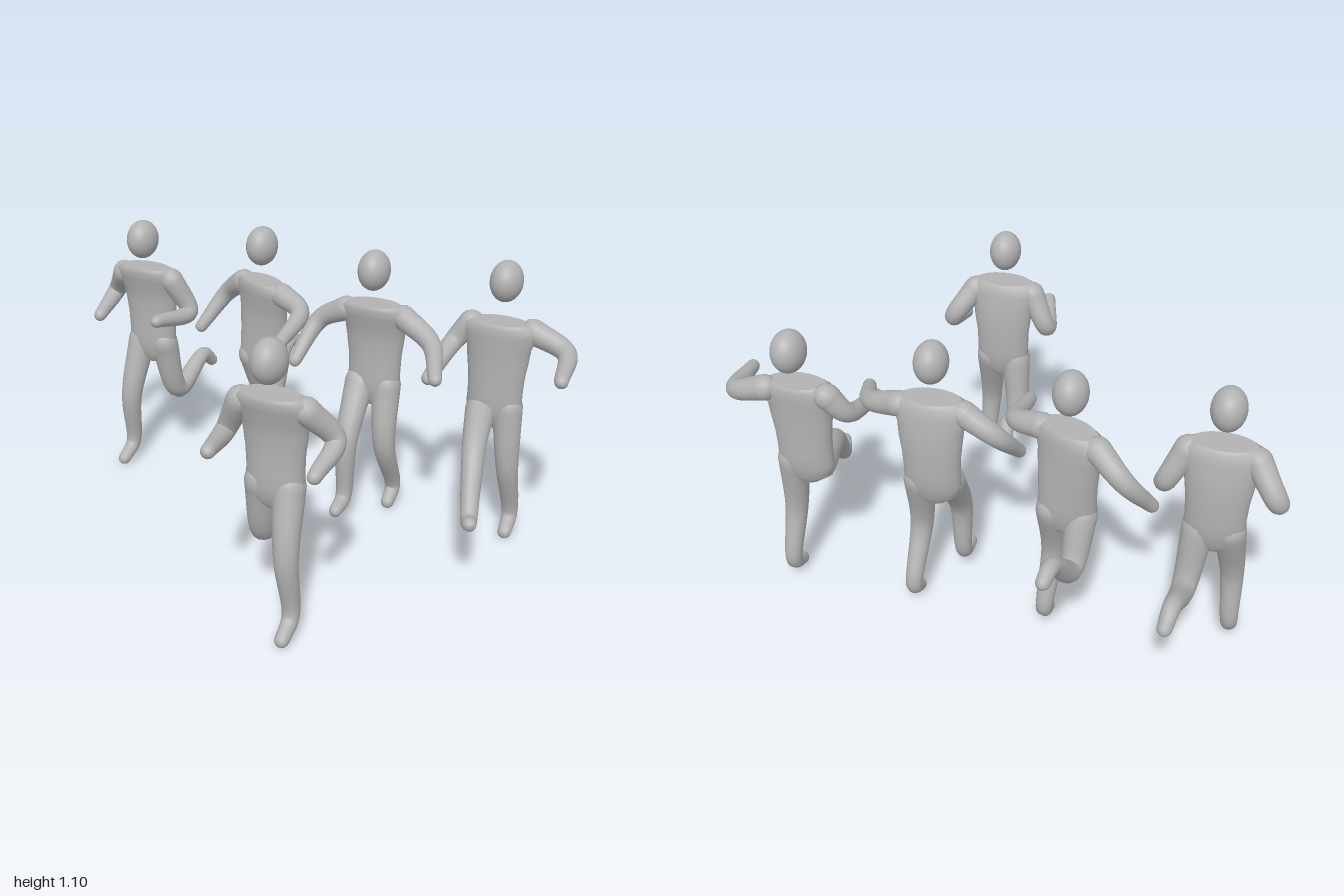
import * as THREE from 'three';
import { mergeGeometries, mergeVertices } from 'three/addons/utils/BufferGeometryUtils.js';

const grey = new THREE.MeshStandardMaterial({ color: 0xb2b2b2 });
grey.name = 'plain grey';

// torso sections from top to bottom: y, half width, half depth, forward shift
const TORSO = [
  [0.887, 0.105, 0.055, 0.028], [0.872, 0.135, 0.064, 0.026], [0.84, 0.138, 0.064, 0.018],
  [0.79, 0.121, 0.061, 0.008], [0.74, 0.116, 0.06, 0], [0.67, 0.107, 0.06, 0],
  [0.6, 0.104, 0.062, 0], [0.55, 0.106, 0.061, 0.004], [0.5, 0.095, 0.052, 0.006], [0.465, 0.045, 0.03, 0.006],
];
const ARM = [0.047, 0.037, 0.025];
const LEG = [0.058, 0.043, 0.031, 0.026];

// smooth tapered limb through joints, with a rounded tip
function limb(joints, radii) {
  const curve = new THREE.CatmullRomCurve3(joints.map((p) => new THREE.Vector3(...p)), false, 'centripetal');
  const rows = 30, sides = 16, last = joints.length - 1;
  const frames = curve.computeFrenetFrames(rows, false);
  // arc position of every joint, so each radius lands on its joint
  const lengths = curve.getLengths(200);
  const stops = joints.map((_, i) => lengths[Math.round((i / last) * 200)] / lengths[200]);
  const radiusAt = (u) => {
    let i = 0;
    while (i < last - 1 && u > stops[i + 1]) i++;
    return THREE.MathUtils.lerp(radii[i], radii[i + 1], (u - stops[i]) / (stops[i + 1] - stops[i]));
  };
  const pos = [], index = [];
  const ring = (centre, r, f) => {
    for (let j = 0; j < sides; j++) {
      const a = (j / sides) * Math.PI * 2;
      const p = centre.clone()
        .addScaledVector(frames.normals[f], Math.cos(a) * r)
        .addScaledVector(frames.binormals[f], Math.sin(a) * r);
      pos.push(p.x, p.y, p.z);
    }
  };
  // rounded ends are extra shrinking rings before and after the shaft
  const cap = (u, f, sign, angles) => angles.forEach((a) => {
    const r = radiusAt(u);
    ring(curve.getPointAt(u).addScaledVector(frames.tangents[f], sign * Math.sin(a) * r), Math.cos(a) * r, f);
  });
  cap(0, 0, -1, [1.57, 1.2, 0.8, 0.4]);
  for (let i = 0; i <= rows; i++) ring(curve.getPointAt(i / rows), radiusAt(i / rows), i);
  cap(1, rows, 1, [0.4, 0.8, 1.2, 1.57]);
  for (let i = 0; i < pos.length / 3 / sides - 1; i++) {
    for (let j = 0; j < sides; j++) {
      const a = i * sides + j, b = i * sides + ((j + 1) % sides);
      index.push(a, b, a + sides, b, b + sides, a + sides);
    }
  }
  const g = new THREE.BufferGeometry();
  g.setAttribute('position', new THREE.Float32BufferAttribute(pos, 3));
  g.setIndex(index);
  g.computeVertexNormals();
  return g;
}

// torso: a cylinder whose rows follow the sections; the shoulders may twist
function torso(shift, lean, twist) {
  const n = TORSO.length - 1;
  const warp = (g) => {
    const p = g.attributes.position;
    for (let i = 0; i < p.count; i++) {
      const [y, hx, hz, f] = TORSO[Math.round((0.5 - p.getY(i)) * n)];
      const x = p.getX(i) * hx, z = p.getZ(i) * hz;
      const a = twist * THREE.MathUtils.smoothstep(y, 0.5, 0.85);
      p.setXYZ(i, x * Math.cos(a) - z * Math.sin(a), y, x * Math.sin(a) + z * Math.cos(a) + shift + f * lean);
    }
    g.deleteAttribute('uv');
    g.deleteAttribute('normal');
    const out = mergeVertices(g, 1e-5);
    out.computeVertexNormals();
    return out;
  };
  const side = warp(new THREE.CylinderGeometry(1, 1, 1, 28, n, true));
  // flat lids close the top and bottom
  const lids = warp(new THREE.CylinderGeometry(1, 1, 1, 28, 1));
  const keep = [], ix = lids.index.array, p = lids.attributes.position;
  for (let i = 0; i < ix.length; i += 3) {
    const ys = [0, 1, 2].map((k) => p.getY(ix[i + k]));
    if (Math.max(...ys) - Math.min(...ys) < 0.01) keep.push(ix[i], ix[i + 1], ix[i + 2]);
  }
  lids.setIndex(keep);
  lids.computeVertexNormals();
  return mergeGeometries([side, lids]);
}

// limb joints are relative to the head in x and z, with y from the ground
const sprint = {
  shift: -0.045, lean: 1, twist: 0,
  leftArm: [[0.115, 0.842, -0.03], [0.195, 0.73, -0.085], [0.188, 0.667, 0.065]],
  rightArm: [[-0.115, 0.842, -0.02], [-0.18, 0.71, -0.04], [-0.142, 0.727, 0.155]],
  leftLeg: [[0.052, 0.55, -0.04], [0.075, 0.31, 0.035], [0.088, 0.075, 0.025], [0.09, 0.028, 0.1]],
  rightLeg: [[-0.052, 0.55, -0.04], [-0.075, 0.315, -0.105], [-0.09, 0.395, -0.31], [-0.1, 0.35, -0.36]],
};
const flip = (list) => list.map(([x, y, z]) => [-x, y, z]);
const sprintMirrored = {
  ...sprint,
  leftArm: flip(sprint.rightArm), rightArm: flip(sprint.leftArm),
  leftLeg: flip(sprint.rightLeg), rightLeg: flip(sprint.leftLeg),
};
const highKickBack = {
  shift: -0.01, lean: 0.5, twist: 0.42,
  leftArm: [[0.105, 0.85, 0.04], [0.21, 0.82, 0.1], [0.22, 0.765, 0.31]],
  rightArm: [[-0.105, 0.85, -0.045], [-0.205, 0.77, -0.09], [-0.29, 0.632, -0.01]],
  leftLeg: [[0.052, 0.55, -0.01], [0.06, 0.32, 0.05], [0.075, 0.075, -0.01], [0.077, 0.028, 0.055]],
  rightLeg: [[-0.052, 0.55, -0.01], [-0.04, 0.37, -0.1], [-0.01, 0.515, -0.27], [0, 0.5, -0.335]],
};
const shortStride = {
  shift: -0.04, lean: 1, twist: 0,
  leftArm: [[0.115, 0.845, -0.02], [0.25, 0.79, 0.05], [0.33, 0.73, 0.225]],
  rightArm: [[-0.115, 0.845, -0.02], [-0.23, 0.775, -0.025], [-0.28, 0.64, 0.095]],
  leftLeg: [[0.052, 0.55, -0.035], [0.07, 0.31, 0.01], [0.08, 0.075, -0.085], [0.08, 0.028, -0.03]],
  rightLeg: [[-0.052, 0.55, -0.02], [-0.05, 0.34, 0.11], [-0.05, 0.1, 0.13], [-0.05, 0.08, 0.205]],
};
const frontKick = {
  shift: 0.035, lean: 0, twist: 0,
  leftArm: [[0.115, 0.855, 0.01], [0.245, 0.81, 0.04], [0.28, 0.78, 0.235]],
  rightArm: [[-0.115, 0.855, 0.015], [-0.17, 0.78, 0.045], [-0.19, 0.715, 0.265]],
  leftLeg: [[0.052, 0.55, 0.035], [0.075, 0.31, 0.05], [0.09, 0.075, 0], [0.092, 0.028, 0.065]],
  rightLeg: [[-0.045, 0.53, 0.05], [0, 0.475, 0.27], [0.05, 0.285, 0.45], [0.068, 0.3, 0.505]],
};

function runner(name, x, headY, z, pose) {
  const g = new THREE.Group();
  g.name = name;
  const add = (part, geometry) => {
    const m = new THREE.Mesh(geometry, grey);
    m.name = part;
    g.add(m);
    return m;
  };
  const head = add('head', new THREE.SphereGeometry(1, 32, 24));
  head.scale.set(0.06, 0.077, 0.074);
  head.position.y = headY;
  add('torso', torso(pose.shift, pose.lean, pose.twist));
  for (const side of ['left', 'right']) {
    add(side + 'Arm', limb(pose[side + 'Arm'], ARM));
    add(side + 'Leg', limb(pose[side + 'Leg'], LEG));
  }
  g.position.set(x, 0, z);
  return g;
}

export function createModel() {
  const model = new THREE.Group();
  model.name = 'runners';
  model.add(
    runner('rightEndRunner', -0.78, 1.005, -0.315, sprintMirrored),
    runner('rightMiddleRunner', -0.28, 1.025, -0.39, highKickBack),
    runner('leftMiddleRunner', 0.217, 1.02, -0.325, shortStride),
    runner('leftEndRunner', 0.7, 1.028, -0.4, frontKick),
    runner('leadRunner', 0.212, 1.005, 0.56, sprint),
  );
  return model;
}
